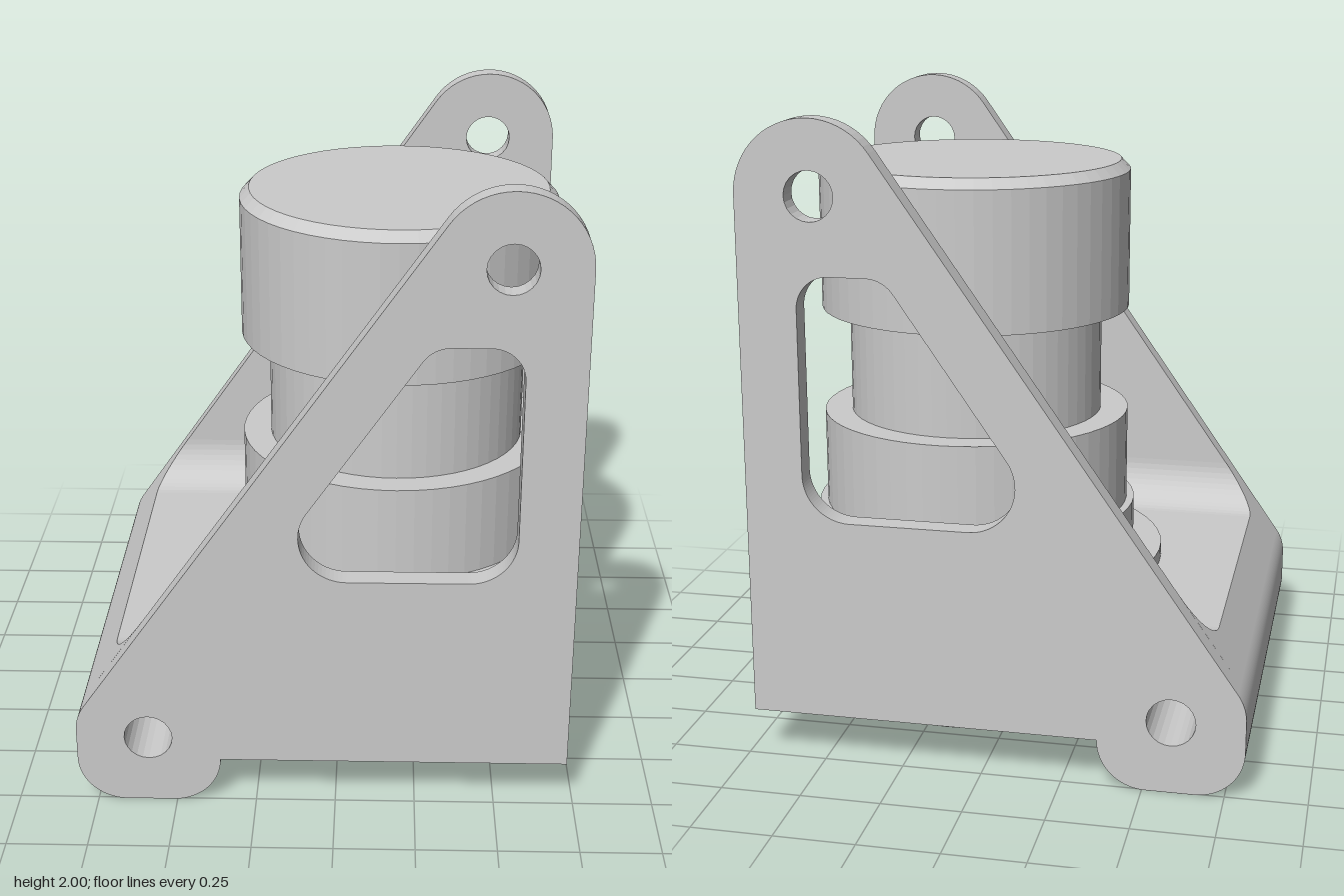
import * as THREE from 'three';

const RIGHT = 0.725, FLOOR = 0.455, INNER = 0.682, OUTER = 0.755, FILLET = 0.15;
const SLOPE = 1.43; // rise of the sloping edge of the side walls
const NORMAL = Math.PI - Math.atan(1 / SLOPE); // direction the sloping edge faces
const slopeX = (y) => -0.783 + (y - 0.336) / SLOPE;

const material = new THREE.MeshStandardMaterial({ color: 0xcccccc, flatShading: true });

function part(name, geometry) {
  const mesh = new THREE.Mesh(geometry, material);
  mesh.name = name;
  return mesh;
}

function extrude(shape, depth) {
  return new THREE.ExtrudeGeometry(shape, { depth, bevelEnabled: false, curveSegments: 12 });
}

// Outlines run clockwise and holes anticlockwise, so the bores face inwards
function roundHole(x, y, r) {
  const hole = new THREE.Path();
  hole.absarc(x, y, r, 0, Math.PI * 2, false);
  return hole;
}

// Foot outline shared by the walls and the base, ending on the sloping edge
function footOutline() {
  const s = new THREE.Shape();
  s.moveTo(RIGHT, 0.15);
  s.lineTo(-0.36, 0.15);
  s.absarc(-0.51, 0.15, 0.15, 0, -Math.PI / 2, true);
  s.absarc(-0.66, 0.15, 0.15, -Math.PI / 2, -Math.PI, true);
  s.absarc(-0.66, 0.25, 0.15, Math.PI, NORMAL, true);
  s.holes.push(roundHole(-0.585, 0.228, 0.075));
  return s;
}

function wallShape() {
  const s = footOutline();
  s.absarc(0.5, 1.775, 0.225, NORMAL, 0, true);
  s.closePath();
  s.holes.push(roundHole(0.498, 1.775, 0.075));
  // Rounded window following the slope
  const w = new THREE.Path();
  w.absarc(0.4, 0.93, 0.145, -Math.PI / 2, 0, false);
  w.absarc(0.445, 1.44, 0.1, 0, Math.PI / 2, false);
  w.absarc(0.333, 1.44, 0.1, Math.PI / 2, NORMAL, false);
  w.absarc(0.035, 0.93, 0.145, NORMAL, Math.PI * 1.5, false);
  w.closePath();
  s.holes.push(w);
  return s;
}

function baseShape() {
  const s = footOutline();
  s.lineTo(slopeX(FLOOR), FLOOR);
  s.lineTo(RIGHT, FLOOR);
  s.closePath();
  return s;
}

// Concave fillet between floor and wall, its left end cut along the slope
function filletGeometry(side) {
  const s = new THREE.Shape();
  s.moveTo(side * INNER, FLOOR);
  for (let i = 0; i <= 12; i++) {
    const a = (i / 12) * Math.PI / 2;
    s.lineTo(side * (INNER - FILLET + FILLET * Math.cos(a)), FLOOR + FILLET * (1 - Math.sin(a)));
  }
  s.closePath();
  const g = extrude(s, 1);
  g.rotateY(-Math.PI / 2);
  const p = g.attributes.position;
  for (let i = 0; i < p.count; i++) {
    p.setX(i, p.getX(i) > -0.5 ? RIGHT : slopeX(p.getY(i)));
  }
  return g;
}

function lathe(points) {
  return new THREE.LatheGeometry(points.map(([r, y]) => new THREE.Vector2(r, y)), 56);
}

export function createModel() {
  const model = new THREE.Group();
  model.name = 'bracketAssembly';

  // Bracket: solid base, two side walls and their fillets
  const bracket = new THREE.Group();
  bracket.name = 'bracket';
  bracket.add(part('base', extrude(baseShape(), INNER * 2).translate(0, 0, -INNER)));
  for (const [side, label] of [[1, 'front'], [-1, 'back']]) {
    const z = side > 0 ? INNER : -OUTER;
    bracket.add(part(label + 'Wall', extrude(wallShape(), OUTER - INNER).translate(0, 0, z)));
    bracket.add(part(label + 'Fillet', filletGeometry(side)));
  }
  model.add(bracket);

  // Stepped cylinder standing on the floor
  const cylinder = new THREE.Group();
  cylinder.name = 'cylinder';
  cylinder.position.x = 0.183;
  cylinder.add(part('flange', lathe([[0, 0.455], [0.625, 0.455], [0.625, 0.5], [0.53, 0.5]])));
  cylinder.add(part('steppedBody', lathe([
    [0.53, 0.5], [0.53, 0.66], [0.505, 0.66], [0.505, 0.972], [0.415, 0.972],
    [0.415, 1.322], [0.505, 1.322], [0.505, 1.768], [0.475, 1.8], [0, 1.8],
  ])));
  // Plug below the base
  cylinder.add(part('bottomPlug', lathe([[0, 0], [0.4525, 0], [0.4525, 0.15], [0, 0.15]])));
  model.add(cylinder);

  return model;
}
